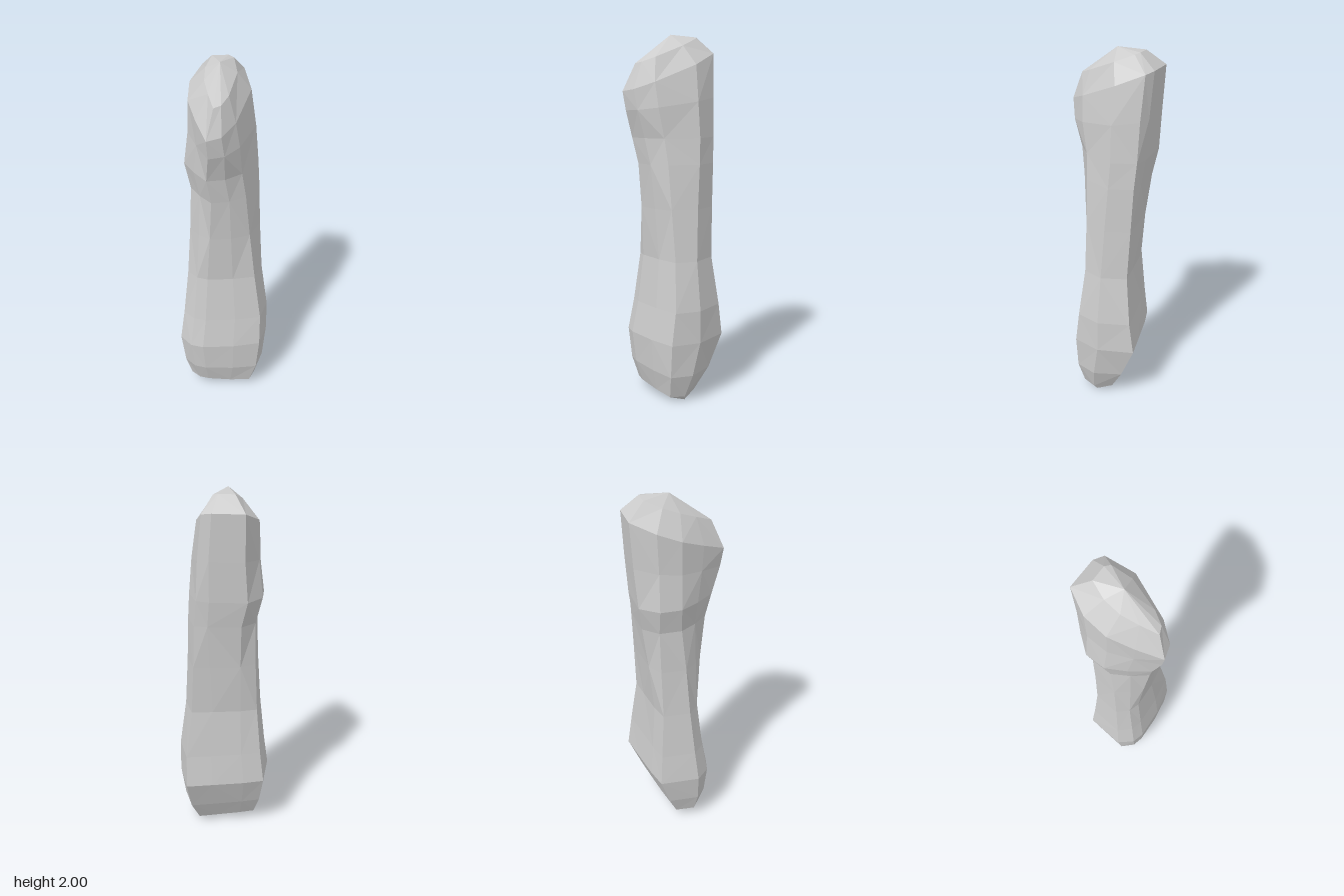
import * as THREE from 'three';

// Ten-sided outlines [u, v] inside a unit box (u: right to left, v: back to front)
const BASE = [[.27, 1], [.62, .96], [.92, .87], [1, .48], [.88, 0], [.6, .07], [.25, .16], [.03, .24], [0, .78], [.13, .96]];
const HEAD = [[.34, 1], [.57, .95], [.78, .77], [1, .34], [.87, .05], [.7, 0], [.18, .01], [0, .25], [0, .5], [.15, .75]];

// Levels: height, xMin, xMax, zMin, zMax, tilt along x, tilt along z
const LEVELS = [
  [.045, -.195, .185, -.07, .13, -.09, 0],
  [.17, -.23, .23, -.145, .165, -.04, 0],
  [.35, -.255, .25, -.225, .18, 0, 0],
  [.53, -.232, .248, -.2, .15, 0, 0],
  [.8, -.205, .21, -.17, .12, 0, 0],
  [1.08, -.188, .193, -.187, .14, 0, 0],
  [1.32, -.18, .183, -.205, .165, 0, 0],
  [1.46, -.213, .174, -.22, .19, 0, 0],
  [1.64, -.19, .158, -.232, .235, 0, -.15],
  [1.81, -.185, .13, -.247, .25, 0, -.42],
  [1.925, -.1, .06, -.16, .19, 0, -.4],
];

// One tilted ring, its outline changing from the boxy base to the pointed head
function ring([y, x0, x1, z0, z1, tx, tz]) {
  const t = THREE.MathUtils.smoothstep(y, .6, 1.65);
  return BASE.map(([u, v], i) => {
    const x = THREE.MathUtils.lerp(x0, x1, THREE.MathUtils.lerp(u, HEAD[i][0], t));
    const z = THREE.MathUtils.lerp(z0, z1, THREE.MathUtils.lerp(v, HEAD[i][1], t));
    return [x, y + tx * x + tz * z, z];
  });
}

export function createModel() {
  const n = BASE.length;
  const rings = LEVELS.map(ring);
  const points = rings.flat();
  const index = [];

  // Sides, with alternating diagonals for a chipped surface
  for (let j = 0; j < rings.length - 1; j++) {
    for (let i = 0; i < n; i++) {
      const a = j * n + i, b = j * n + (i + 1) % n, c = b + n, d = a + n;
      if ((i + j) % 2) index.push(a, b, c, a, c, d);
      else index.push(a, b, d, b, c, d);
    }
  }

  // Slanted foot and faceted crown
  const foot = points.push([.165, 0, .015]) - 1;
  const crown = points.push([-.025, 2, -.02]) - 1;
  const top = (rings.length - 1) * n;
  for (let i = 0; i < n; i++) {
    const k = (i + 1) % n;
    index.push(foot, k, i, crown, top + i, top + k);
  }

  const geometry = new THREE.BufferGeometry();
  geometry.setAttribute('position', new THREE.Float32BufferAttribute(points.flat(), 3));
  geometry.setIndex(index);
  geometry.computeVertexNormals();

  const stone = new THREE.Mesh(geometry, new THREE.MeshStandardMaterial({ color: 0xcccccc, flatShading: true }));
  stone.name = 'standingStone';
  const group = new THREE.Group();
  group.name = 'rock';
  group.add(stone);
  return group;
}
